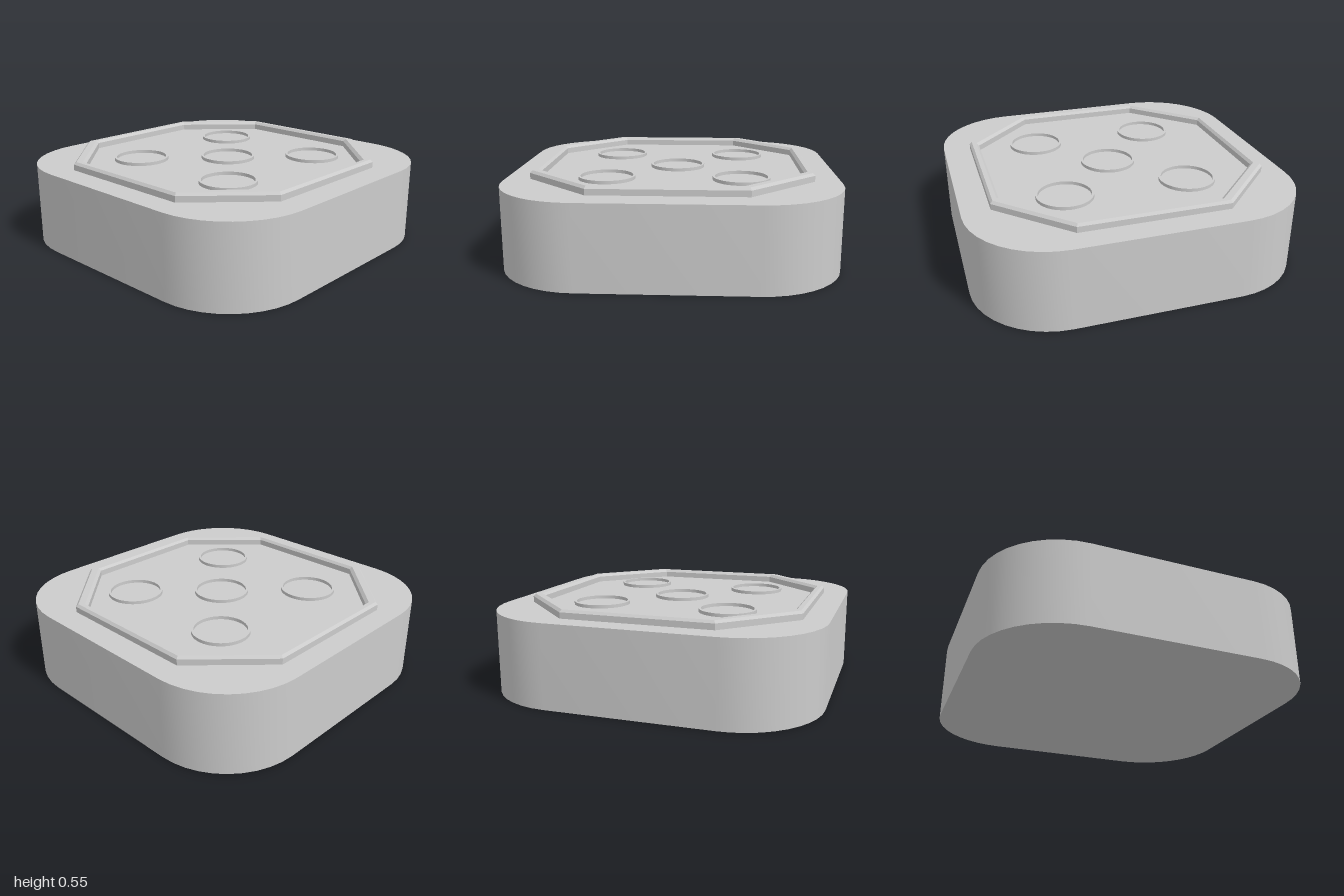
import * as THREE from 'three';
import { toCreasedNormals } from 'three/addons/utils/BufferGeometryUtils.js';

const DECK = 0.5; // height of the base's top face

// Square block with broad five-segment rounded corners
function baseGeometry() {
  const s = new THREE.Shape();
  const r = 0.5, c = 0.5;
  s.absarc(c, c, r, 0, Math.PI / 2);
  s.absarc(-c, c, r, Math.PI / 2, Math.PI);
  s.absarc(-c, -c, r, Math.PI, Math.PI * 1.5);
  s.absarc(c, -c, r, Math.PI * 1.5, Math.PI * 2);
  const g = new THREE.ExtrudeGeometry(s, { depth: DECK, bevelEnabled: false, curveSegments: 5 });
  g.rotateX(-Math.PI / 2);
  return toCreasedNormals(g, 0.6);
}

// Octagon corners: a = distance to the straight sides, b = half their length
function octagon(a, b, y) {
  return [[a, b], [b, a], [-b, a], [-a, b], [-a, -b], [-b, -a], [b, -a], [a, -b]]
    .map(([x, up]) => [x, y, -up]);
}

// Octagonal frame swept from a chamfered section, outer foot to inner foot
function frameGeometry() {
  const loops = [
    octagon(0.847, 0.452, 0),
    octagon(0.847, 0.452, 0.036),
    octagon(0.833, 0.445, 0.051),
    octagon(0.806, 0.415, 0.051),
    octagon(0.791, 0.405, 0.036),
    octagon(0.791, 0.405, 0),
  ];
  const pos = [];
  for (let i = 0; i < loops.length - 1; i++) {
    for (let j = 0; j < 8; j++) {
      const k = (j + 1) % 8;
      const a = loops[i][j], b = loops[i][k], c = loops[i + 1][k], d = loops[i + 1][j];
      pos.push(...a, ...b, ...c, ...a, ...c, ...d);
    }
  }
  const g = new THREE.BufferGeometry();
  g.setAttribute('position', new THREE.Float32BufferAttribute(pos, 3));
  g.computeVertexNormals();
  return g;
}

// Thin raised circular rim
function rimGeometry() {
  const profile = [[0.172, 0], [0.172, 0.02], [0.158, 0.02], [0.158, 0]]
    .map(([r, y]) => new THREE.Vector2(r, y));
  return toCreasedNormals(new THREE.LatheGeometry(profile, 48), 0.6);
}

export function createModel() {
  const model = new THREE.Group();
  const material = new THREE.MeshStandardMaterial({ color: 0xcccccc });
  const add = (name, geometry, x = 0, y = 0, z = 0) => {
    const mesh = new THREE.Mesh(geometry, material);
    mesh.name = name;
    mesh.position.set(x, y, z);
    model.add(mesh);
  };

  add('base', baseGeometry());
  add('octagonFrame', frameGeometry(), -0.002, DECK, -0.016);

  // Five rims: one in each corner and one in the middle
  const rim = rimGeometry();
  add('centreRim', rim, 0.018, DECK, 0.01);
  for (const x of [-0.392, 0.415]) {
    for (const z of [-0.372, 0.394]) add('cornerRim', rim, x, DECK, z);
  }
  return model;
}
